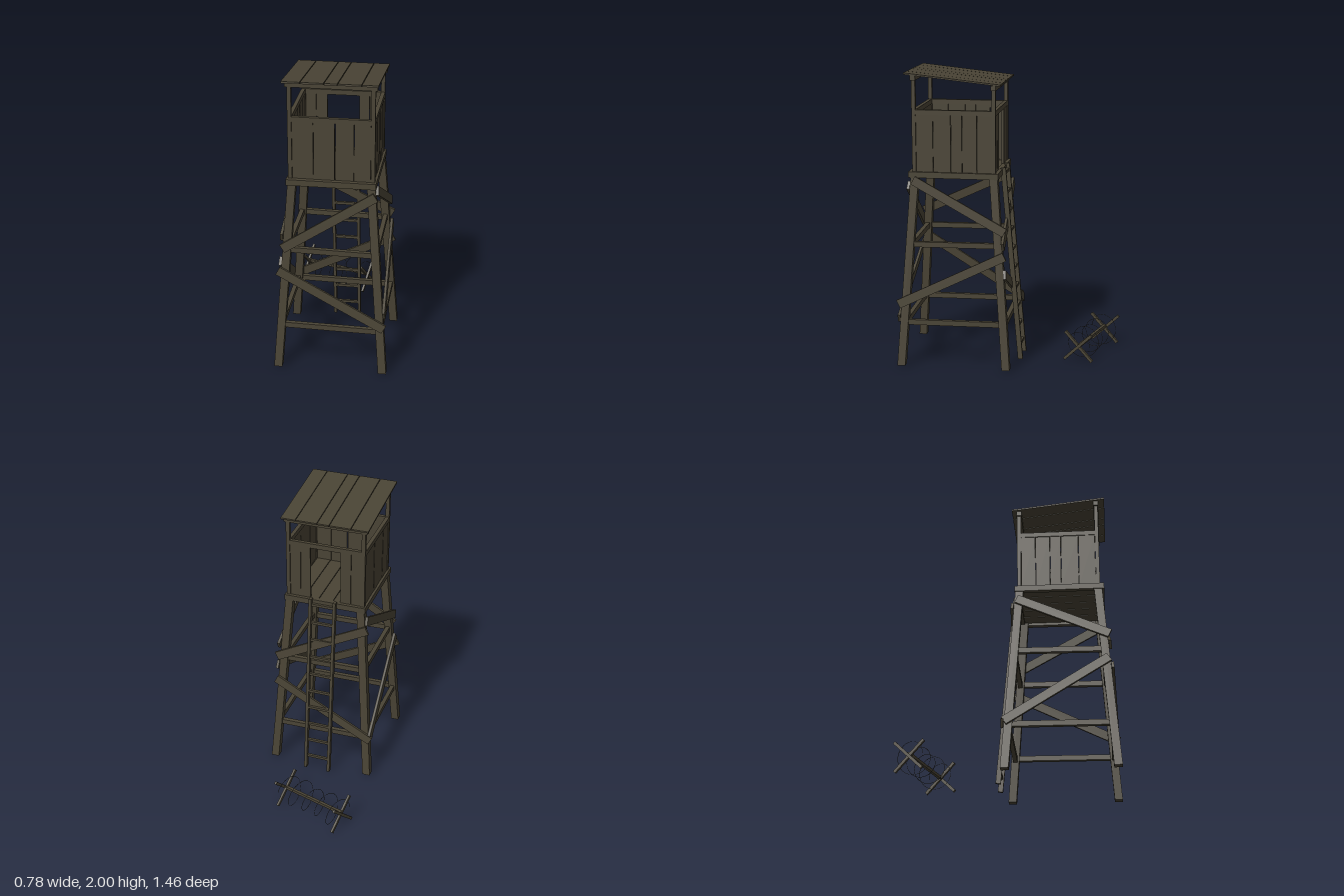
import * as THREE from 'three';

const wood = new THREE.MeshStandardMaterial({ color: 0x4a4435 });
wood.name = 'weathered wood';
const steel = new THREE.MeshStandardMaterial({ color: 0x3a3a38 });
steel.name = 'wire steel';

const V = (x, y, z) => new THREE.Vector3(x, y, z);
const CX = 0.015, CZ = 0.345, DECK = 1.34;
// half spread of the tapering legs at a given height
const legX = (y) => 0.349 - 0.072 * y;
const legZ = (y) => 0.36 - 0.072 * y;

function box(parent, name, x0, x1, y0, y1, z0, z1) {
  const m = new THREE.Mesh(new THREE.BoxGeometry(x1 - x0, y1 - y0, z1 - z0), wood);
  m.position.set((x0 + x1) / 2, (y0 + y1) / 2, (z0 + z1) / 2);
  m.name = name;
  parent.add(m);
  return m;
}

// board from a to b, with its thickness along the direction n
function beam(parent, name, a, b, width, thick, n) {
  const dir = b.clone().sub(a);
  const m = new THREE.Mesh(new THREE.BoxGeometry(width, dir.length(), thick), wood);
  const yAxis = dir.normalize();
  const xAxis = yAxis.clone().cross(n).normalize();
  const zAxis = xAxis.clone().cross(yAxis);
  m.quaternion.setFromRotationMatrix(new THREE.Matrix4().makeBasis(xAxis, yAxis, zAxis));
  m.position.copy(a).add(b).multiplyScalar(0.5);
  m.name = name;
  parent.add(m);
}

function group(parent, name) {
  const g = new THREE.Group();
  g.name = name;
  parent.add(g);
  return g;
}

function buildFrame(root) {
  const g = group(root, 'towerFrame');
  // four leaning legs with level ends
  for (const sx of [-1, 1]) for (const sz of [-1, 1]) {
    const geo = new THREE.BoxGeometry(0.054, 1.3, 0.054);
    geo.translate(0, 0.66, 0);
    const p = geo.attributes.position;
    for (let i = 0; i < p.count; i++) {
      const y = p.getY(i);
      p.setXYZ(i, p.getX(i) + CX + sx * legX(y), y, p.getZ(i) + CZ + sz * legZ(y));
    }
    geo.computeVertexNormals();
    const leg = new THREE.Mesh(geo, wood);
    leg.name = 'leg';
    g.add(leg);
  }
  // horizontal rails on each side, slightly uneven
  for (const y of [0.31, 0.845]) {
    for (const s of [-1, 1]) {
      const z = CZ + s * legZ(y), x = CX + s * legX(y);
      beam(g, 'crossRail', V(CX - legX(y), y + 0.004, z), V(CX + legX(y), y - 0.006, z), 0.036, 0.03, V(0, 0, s));
      beam(g, 'sideRail', V(x, y + 0.002, CZ + legZ(y)), V(x, y + 0.008, CZ - legZ(y)), 0.036, 0.03, V(s, 0, 0));
    }
  }
  // diagonal boards: [side, x0, y0, x1, y1] along the front and back
  const off = 0.037;
  const acrossX = [
    [1, -0.33, 0.71, 0.37, 0.34], [1, -0.3, 0.865, 0.3, 1.25],
    [-1, -0.355, 0.31, 0.355, 0.67], [-1, -0.295, 1.18, 0.35, 0.855],
  ];
  for (const [s, x0, y0, x1, y1] of acrossX) {
    const z = (y) => CZ + s * (legZ(y) + off);
    beam(g, 'diagonalBrace', V(x0, y0, z(y0)), V(x1, y1, z(y1)), 0.06, 0.018, V(0, 0.072, s));
  }
  // the same along the two flanks: [side, z0, y0, z1, y1]
  const acrossZ = [
    [1, 0.72, 0.44, 0, 0.79], [1, 0.62, 1.285, 0, 0.95],
    [-1, 0.67, 0.77, -0.02, 0.33], [-1, 0.68, 0.945, 0.06, 1.235],
  ];
  for (const [s, z0, y0, z1, y1] of acrossZ) {
    const x = (y) => CX + s * (legX(y) + off);
    beam(g, 'diagonalBrace', V(x(y0), y0, z0), V(x(y1), y1, z1), 0.06, 0.018, V(s, 0.072, 0));
  }
}

function buildCabin(root) {
  const g = group(root, 'cabin');
  const x0 = -0.274, x1 = 0.302, z0 = 0.047, z1 = 0.653;
  // deck edge beams and floor boards
  for (const [a, b] of [[z0, z0 + 0.035], [z1 - 0.035, z1]]) box(g, 'deckBeam', x0, x1, 1.3, DECK, a, b);
  for (const [a, b] of [[x0, x0 + 0.035], [x1 - 0.035, x1]]) box(g, 'deckBeam', a, b, 1.3, DECK, z0 + 0.035, z1 - 0.035);
  const w = (x1 - x0 - 0.07) / 5;
  for (let i = 0; i < 5; i++) {
    const a = x0 + 0.035 + i * w;
    box(g, 'floorBoard', a + 0.002, a + w - 0.002, 1.318, 1.336, z0 + 0.035, z1 - 0.035);
  }
  // corner posts, taller at the front, with a header on each pair
  const px = [-0.25, 0.278], pz = [0.078, 0.613], top = [1.925, 1.985];
  for (let k = 0; k < 2; k++) {
    for (const x of px) box(g, 'cornerPost', x - 0.013, x + 0.013, DECK, top[k] - 0.03, pz[k] - 0.013, pz[k] + 0.013);
    box(g, 'roofHeader', -0.276, 0.304, top[k] - 0.035, top[k] - 0.002, pz[k] - 0.017, pz[k] + 0.017);
    // wall top rails
    box(g, 'wallRail', px[0] + 0.013, px[1] - 0.013, 1.722, 1.755, pz[k] - 0.013, pz[k] + 0.013);
    box(g, 'wallRail', px[k] - 0.013, px[k] + 0.013, 1.722, 1.755, pz[0] + 0.013, pz[1] - 0.013);
  }
  // wall boards
  const board = (a, b, z) => box(g, 'wallBoard', a + 0.0015, b - 0.0015, DECK, 1.722, z - 0.008, z + 0.008);
  const fronts = [-0.237, -0.1, 0.036, 0.158, 0.265];
  fronts.slice(1).forEach((b, i) => board(fronts[i] + (i === 2 ? 0.004 : 0), b, pz[1] + 0.002 * (i % 2)));
  // back boards leave a doorway above the ladder
  for (const [a, b] of [[-0.237, -0.165], [-0.165, -0.09], [0.12, 0.19], [0.19, 0.265]]) board(a, b, pz[0]);
  const sides = [0.091, 0.19, 0.29, 0.365, 0.485, 0.6];
  for (const x of px) sides.slice(1).forEach((b, i) => {
    const c = x + 0.002 * (i % 2);
    box(g, 'wallBoard', c - 0.008, c + 0.008, DECK, 1.722, sides[i] + 0.0015, b - 0.0015);
  });
  // sloping roof boards
  const seams = [-0.293, -0.172, -0.024, 0.061, 0.21, 0.315];
  seams.slice(1).forEach((b, i) => {
    const x = (seams[i] + b) / 2;
    beam(g, 'roofBoard', V(x, 1.926, 0.03), V(x, 1.994, 0.672), b - seams[i] - 0.004, 0.011, V(0, 1, 0));
  });
}

function buildLadder(root) {
  const g = group(root, 'ladder');
  const z = (y) => -0.077 + 0.088 * y;
  for (const x of [-0.062, 0.11]) beam(g, 'ladderRail', V(x, 0.005, z(0)), V(x, 1.35, z(1.35)), 0.02, 0.034, V(0, 0, -1));
  for (let i = 0; i < 10; i++) {
    const y = 0.1 + i * 0.134;
    beam(g, 'ladderRung', V(-0.055, y, z(y)), V(0.103, y, z(y)), 0.018, 0.018, V(0, 0, -1));
  }
}

function buildBarrier(root) {
  const g = group(root, 'wireBarrier');
  const a = V(-0.345, 0.125, -0.625), b = V(0.115, 0.115, -0.478);
  const along = b.clone().sub(a).normalize(), side = V(-along.z, 0, along.x), up = V(0, 1, 0);
  beam(g, 'barrierBeam', a, b, 0.02, 0.02, up);
  // crossed stakes at both ends
  for (const [end, sgn] of [[a, 1], [b, -1]]) for (const s of [-1, 1]) {
    const c = end.clone().setY(0.112).addScaledVector(along, sgn * s * 0.008);
    const d = side.clone().multiplyScalar(0.1).addScaledVector(up, s * 0.097);
    beam(g, 'barrierStake', c.clone().sub(d), c.clone().add(d), 0.02, 0.016, along);
  }
  // coiled wire
  const pts = [];
  for (let i = 0; i <= 90; i++) {
    const t = i / 90, q = t * Math.PI * 9;
    const r = 0.095 + 0.01 * Math.sin(q * 0.37);
    pts.push(a.clone().lerp(b, t).setY(0.115).addScaledVector(side, Math.cos(q) * r).addScaledVector(up, Math.sin(q) * r));
  }
  const coil = new THREE.Mesh(new THREE.TubeGeometry(new THREE.CatmullRomCurve3(pts), 240, 0.0016, 4), steel);
  coil.name = 'wireCoil';
  g.add(coil);
}

export function createModel() {
  const root = new THREE.Group();
  root.name = 'watchtower';
  buildFrame(root);
  buildCabin(root);
  buildLadder(root);
  buildBarrier(root);
  return root;
}
